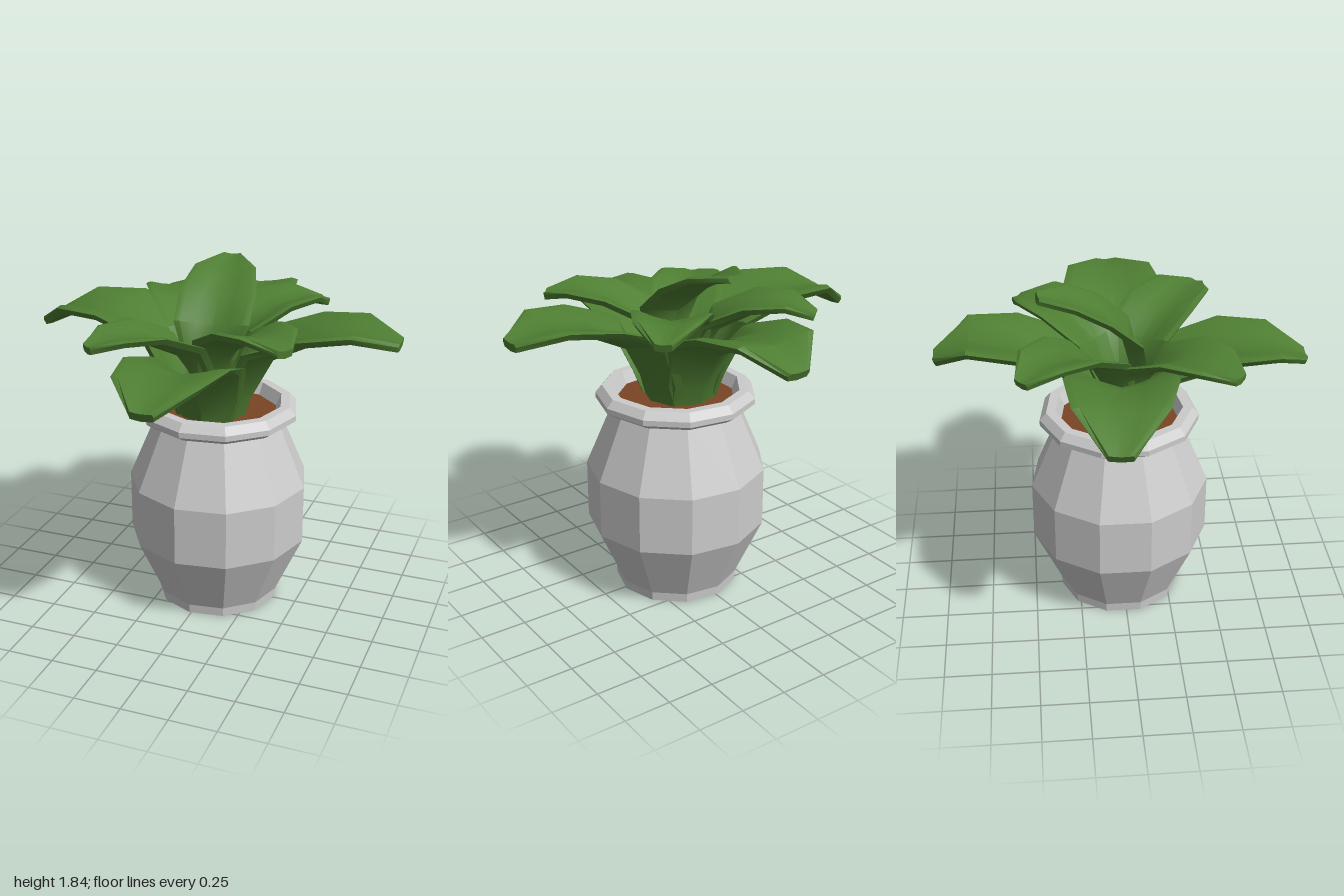
import * as THREE from 'three';
import { toCreasedNormals } from 'three/addons/utils/BufferGeometryUtils.js';

const POT = new THREE.MeshStandardMaterial({ color: 0xcccccc, flatShading: true, side: THREE.DoubleSide });
const SOIL = new THREE.MeshStandardMaterial({ color: 0x7a4526 });
const LEAF = new THREE.MeshStandardMaterial({ color: 0x4f7f33 });
const SIDES = 11;

// Cross-section of a leaf: [side, lift 0..1, depth 0..1 of the thickness]
const edge = (s, depth) => [s, Math.pow(Math.abs(s), 1.4), depth];
const SECTION = [
  edge(-1, 0.4), edge(-0.84, 0), edge(-0.42, 0), edge(0, 0), edge(0.42, 0), edge(0.84, 0), edge(1, 0.4),
  edge(0.9, 1), edge(0, 1), edge(-0.9, 1),
];

// Lofts a cupped leaf along stations of [reach, height, half width, cup depth]
function leafGeometry(stations, thickness) {
  const pos = [], index = [], n = SECTION.length, last = stations.length - 1;
  stations.forEach(([r, y, w, cup], i) => {
    const a = stations[Math.max(i - 1, 0)], b = stations[Math.min(i + 1, last)];
    const len = Math.hypot(b[0] - a[0], b[1] - a[1]);
    const tr = (b[0] - a[0]) / len, ty = (b[1] - a[1]) / len;
    for (const [s, lift, depth] of SECTION) {
      const h = lift * cup - depth * thickness;
      pos.push(s * w, y + tr * h, r - ty * h);
    }
  });
  for (let i = 0; i < last; i++) {
    for (let j = 0; j < n; j++) {
      const a = i * n + j, b = i * n + (j + 1) % n;
      index.push(a, a + n, b, b, a + n, b + n);
    }
  }
  // End caps fan out from the middle of the underside
  const mid = 8, end = last * n;
  for (let j = 0; j < n; j++) {
    const k = (j + 1) % n;
    if (j === mid || k === mid) continue;
    index.push(mid, j, k, end + mid, end + k, end + j);
  }
  const g = new THREE.BufferGeometry();
  g.setAttribute('position', new THREE.Float32BufferAttribute(pos, 3));
  g.setIndex(index);
  return toCreasedNormals(g, 0.6);
}

function addLeaf(group, name, degrees, stations, thickness) {
  const leaf = new THREE.Mesh(leafGeometry(stations, thickness), LEAF);
  leaf.name = name;
  leaf.rotation.y = THREE.MathUtils.degToRad(degrees);
  group.add(leaf);
  return leaf;
}

// Big outer leaf; y gives the heights from the bend to the tip
const outer = (y, reach) => [
  [0.14, 1.07, 0.14, 0.05],
  [0.18, 1.2, 0.2, 0.08],
  [0.31, y[0], 0.26, 0.11],
  [0.55, y[1], 0.28, 0.07],
  [0.79, y[2], 0.23, 0.05],
  [reach, y[3], 0.065, 0.01],
];

// Shorter leaf of the upper ring
const inner = (y) => [
  [0.06, 1.08, 0.1, 0.04],
  [0.09, 1.33, 0.14, 0.06],
  [0.18, y[0], 0.19, 0.08],
  [0.38, y[1], 0.205, 0.06],
  [0.57, y[2], 0.165, 0.04],
  [0.71, y[3], 0.045, 0.01],
];

function lathe(name, points) {
  const profile = points.map(([r, y]) => new THREE.Vector2(r, y));
  const mesh = new THREE.Mesh(new THREE.LatheGeometry(profile, SIDES, Math.PI / 2), POT);
  mesh.name = name;
  return mesh;
}

export function createModel() {
  const model = new THREE.Group();
  model.name = 'pottedPlant';

  // Pot with a foot, faceted belly and a bevelled rim
  const pot = new THREE.Group();
  pot.name = 'pot';
  pot.position.set(0.038, 0, -0.017);
  pot.add(lathe('potBody', [[0, 0], [0.335, 0], [0.338, 0.05], [0.487, 0.38], [0.487, 0.7], [0.335, 1.06]]));
  pot.add(lathe('potRim', [
    [0.335, 1.05], [0.385, 1.05], [0.43, 1.08], [0.43, 1.11], [0.395, 1.15], [0.345, 1.15], [0.31, 1.07],
  ]));
  const soil = new THREE.Mesh(new THREE.CircleGeometry(0.33, SIDES), SOIL);
  soil.name = 'soil';
  soil.rotation.x = -Math.PI / 2;
  soil.position.y = 1.085;
  pot.add(soil);
  model.add(pot);

  // Leaves: four outer, four inner and one at the crown
  const leaves = new THREE.Group();
  leaves.name = 'leaves';
  addLeaf(leaves, 'frontLeaf', 0, outer([1.37, 1.48, 1.49, 1.43], 0.97), 0.045).position.x = 0.02;
  addLeaf(leaves, 'backLeaf', 180, outer([1.43, 1.55, 1.59, 1.51], 0.97), 0.045);
  addLeaf(leaves, 'leftLeaf', 91, outer([1.44, 1.56, 1.61, 1.58], 1.0), 0.045);
  addLeaf(leaves, 'rightLeaf', -95, outer([1.45, 1.57, 1.58, 1.48], 1.0), 0.045);

  addLeaf(leaves, 'frontLeftInnerLeaf', 50, inner([1.5, 1.61, 1.65, 1.63]), 0.04);
  addLeaf(leaves, 'frontRightInnerLeaf', -40, inner([1.46, 1.56, 1.58, 1.56]), 0.04);
  addLeaf(leaves, 'backLeftInnerLeaf', 139, inner([1.51, 1.62, 1.65, 1.61]), 0.04);
  addLeaf(leaves, 'backRightInnerLeaf', -138, inner([1.49, 1.6, 1.63, 1.59]), 0.04);

  addLeaf(leaves, 'crownLeaf', 187, [
    [-0.02, 1.15, 0.08, 0.03],
    [-0.07, 1.42, 0.14, 0.05],
    [-0.03, 1.57, 0.2, 0.06],
    [0.11, 1.7, 0.205, 0.05],
    [0.27, 1.79, 0.165, 0.04],
    [0.43, 1.835, 0.055, 0.01],
  ], 0.035).position.x = 0.015;
  model.add(leaves);

  return model;
}
